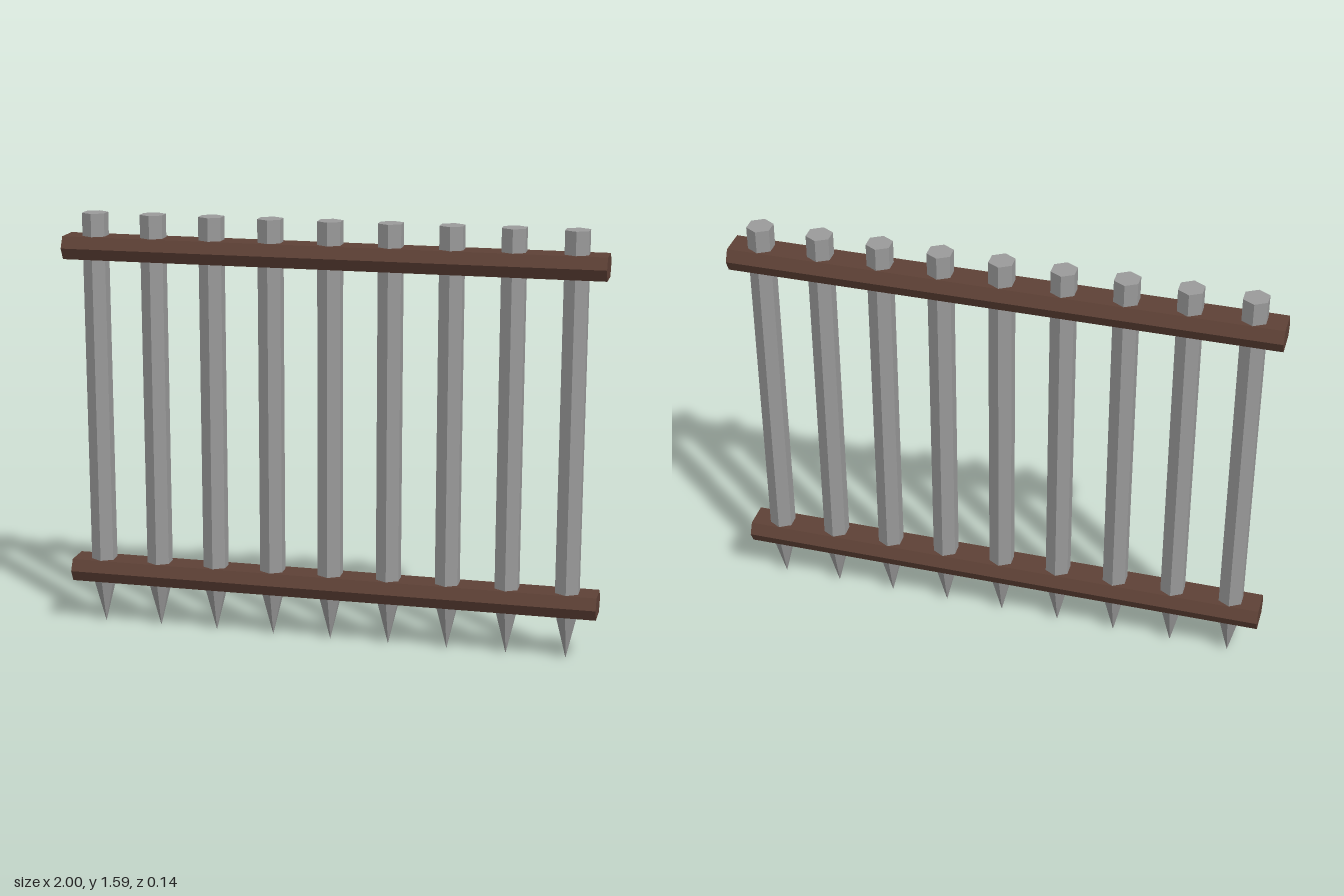
import * as THREE from 'three';

const BAR_COUNT = 9, BAR_SPACING = 0.222, BAR_RADIUS = 0.049;
const SPIKE_HEIGHT = 0.19, BAR_TOP = 1.585;

export function createModel() {
  const model = new THREE.Group();
  model.name = 'portcullis';

  const iron = new THREE.MeshStandardMaterial({ color: 0x9a9a9a, flatShading: true });
  iron.name = 'iron grey';
  const wood = new THREE.MeshStandardMaterial({ color: 0x5e4136, flatShading: true });
  wood.name = 'dark brown wood';

  const add = (parent, name, geometry, material, x, y) => {
    const mesh = new THREE.Mesh(geometry, material);
    mesh.name = name;
    mesh.position.set(x, y, 0);
    parent.add(mesh);
  };

  // Hexagonal bars, each ending in a downward spike
  const length = BAR_TOP - SPIKE_HEIGHT;
  const shaft = new THREE.CylinderGeometry(BAR_RADIUS, BAR_RADIUS, length, 6);
  const spike = new THREE.CylinderGeometry(BAR_RADIUS, 0, SPIKE_HEIGHT, 6, 1, true);
  for (let i = 0; i < BAR_COUNT; i++) {
    const bar = new THREE.Group();
    bar.name = `bar${i + 1}`;
    bar.position.x = (i - (BAR_COUNT - 1) / 2) * BAR_SPACING;
    add(bar, 'shaft', shaft, iron, 0, SPIKE_HEIGHT + length / 2);
    add(bar, 'spike', spike, iron, 0, SPIKE_HEIGHT / 2);
    model.add(bar);
  }

  // Rails: flattened hexagon section with ridges at front and back
  const section = new THREE.Shape([
    [0.071, 0], [0.05, 0.0425], [-0.05, 0.0425],
    [-0.071, 0], [-0.05, -0.0425], [0.05, -0.0425],
  ].map(([z, y]) => new THREE.Vector2(z, y)));
  const rail = new THREE.ExtrudeGeometry(section, { depth: 2, bevelEnabled: false });
  rail.translate(0, 0, -1).rotateY(Math.PI / 2);
  add(model, 'topRail', rail, wood, 0, 1.457);
  add(model, 'bottomRail', rail, wood, 0, 0.213);

  return model;
}
